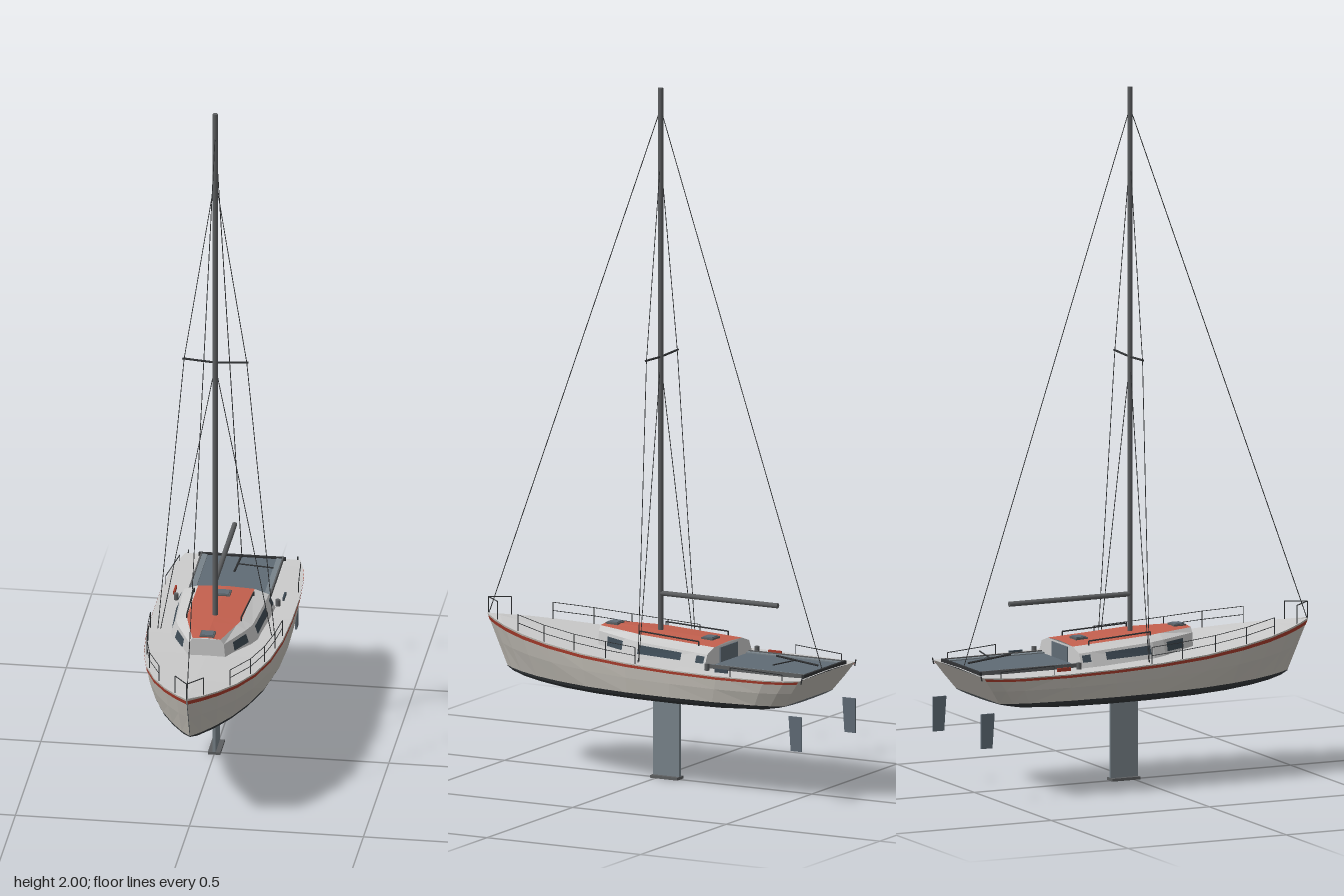
import * as THREE from 'three';

const mat = (color, flat = true) => new THREE.MeshStandardMaterial({ color, flatShading: flat, side: THREE.DoubleSide });
const GREY = mat(0xcccccc), HULL = mat(0xc2beb6), BOTTOM = mat(0x34383b), RED = mat(0xc4604e), STRIPE = mat(0xa83c2c);
const SLATE = mat(0x5f6b75), BENCH = mat(0x78838a), GLASS = mat(0x3d4a54), SPAR = mat(0x5c5e60, false), WIRE = mat(0x303234, false);
const V = (x, y, z) => new THREE.Vector3(x, y, z);

// Stations: deck z, deck half width, deck y, chine z, chine half width, bottom depth
const stations = [
  [-0.55, 0.165, 0.36, -0.49, 0.14, 0.005], [-0.51, 0.178, 0.358, -0.455, 0.16, 0.018],
  [-0.45, 0.19, 0.357, -0.41, 0.173, 0.028], [-0.3, 0.199, 0.357, -0.28, 0.187, 0.037],
  [-0.15, 0.199, 0.36, -0.14, 0.19, 0.04], [0, 0.195, 0.366, 0, 0.185, 0.04],
  [0.15, 0.181, 0.376, 0.14, 0.165, 0.039], [0.28, 0.155, 0.389, 0.25, 0.135, 0.036],
  [0.38, 0.119, 0.4, 0.34, 0.1, 0.03], [0.46, 0.076, 0.41, 0.41, 0.062, 0.023],
  [0.515, 0.036, 0.417, 0.46, 0.028, 0.014], [0.555, 0.001, 0.422, 0.49, 0.001, 0.003],
];
const CHINE = 0.278;

// Value of one station column at a given deck z
function at(z, col) {
  let i = 0;
  while (i < stations.length - 2 && stations[i + 1][0] < z) i++;
  const a = stations[i], b = stations[i + 1];
  return THREE.MathUtils.lerp(a[col], b[col], (z - a[0]) / (b[0] - a[0]));
}

// Skin a list of equally long rows of points
function skin(name, rows, material) {
  const n = rows[0].length, idx = [];
  for (let r = 0; r < rows.length - 1; r++) for (let c = 0; c < n - 1; c++) {
    const a = r * n + c, b = a + n;
    idx.push(a, b, a + 1, a + 1, b, b + 1);
  }
  const g = new THREE.BufferGeometry().setFromPoints(rows.flat());
  g.setIndex(idx);
  g.computeVertexNormals();
  const m = new THREE.Mesh(g, material);
  m.name = name;
  return m;
}

function box(name, w, h, d, x, y, z, material) {
  const m = new THREE.Mesh(new THREE.BoxGeometry(w, h, d), material);
  m.position.set(x, y, z);
  m.name = name;
  return m;
}

// Straight round bar between two points
function rod(name, a, b, r, material = WIRE, sides = 6) {
  const dir = b.clone().sub(a);
  const m = new THREE.Mesh(new THREE.CylinderGeometry(r, r, dir.length(), sides), material);
  m.position.copy(a).addScaledVector(dir, 0.5);
  m.quaternion.setFromUnitVectors(V(0, 1, 0), dir.normalize());
  m.name = name;
  return m;
}

function chain(name, pts, r, material) {
  const g = new THREE.Group();
  g.name = name;
  for (let i = 0; i < pts.length - 1; i++) g.add(rod(name + 'Bar', pts[i], pts[i + 1], r, material));
  return g;
}

function buildHull() {
  const g = new THREE.Group();
  g.name = 'hull';
  // Point on the topside, t = 0 at the deck and 1 at the chine
  const side = (s, k, t, out = 0) => V(k * (THREE.MathUtils.lerp(s[1], s[4], t ** 1.6) + out),
    THREE.MathUtils.lerp(s[2], CHINE, t), THREE.MathUtils.lerp(s[0], s[3], t));
  for (const k of [1, -1]) {
    g.add(skin('topside', stations.map(s => [0, 0.5, 1].map(t => side(s, k, t))), HULL));
    g.add(skin('sheerStripe', stations.map(s => [0.04, 0.13].map(t => side(s, k, t, 0.0015))), STRIPE));
  }
  const curve = s => Array.from({ length: 13 }, (_, i) => {
    const a = Math.PI * i / 12;
    return V(s[4] * Math.cos(a), CHINE - s[5] * Math.sin(a), s[3]);
  });
  g.add(skin('bottom', stations.map(curve), BOTTOM));
  g.add(skin('deck', stations.map(s => [-1, 0, 1].map(k => V(k * s[1], s[2] + (k ? 0 : 0.003), s[0]))), GREY));
  const s = stations[0];
  g.add(skin('transom', [0, 0.5, 1].map(t => [side(s, 1, t), side(s, -1, t)]), HULL));
  return g;
}

function buildCabin() {
  const g = new THREE.Group();
  g.name = 'cabin';
  // z, base half width, shoulder half width, red panel half width, roof y
  const secs = [[-0.228, 0.143, 0.122, 0.081, 0.413], [-0.19, 0.142, 0.121, 0.081, 0.415],
    [0.01, 0.129, 0.11, 0.079, 0.426], [0.05, 0.117, 0.098, 0.07, 0.428], [0.165, 0.056, 0.05, 0.04, 0.432]];
  const half = s => [V(s[1], 0.355, s[0]), V(s[2], s[4] - 0.014, s[0]), V(s[3], s[4], s[0])];
  const flip = p => V(-p.x, p.y, p.z);
  for (const f of [p => p.clone(), flip]) {
    g.add(skin('cabinSide', secs.map(s => half(s).map(f)), GREY));
    // Windows lie on the sloping side, slightly proud of it
    for (const [z0, z1, seg] of [[-0.222, -0.195, 0], [-0.145, 0, 1], [0.06, 0.125, 3]]) {
      const a = half(secs[seg]), b = half(secs[seg + 1]);
      const pt = (z, v) => {
        const u = (z - secs[seg][0]) / (secs[seg + 1][0] - secs[seg][0]);
        const lo = a[0].clone().lerp(b[0], u), hi = a[1].clone().lerp(b[1], u);
        return f(lo.lerp(hi, v).add(V(0.002, 0.001, 0)));
      };
      g.add(skin('window', [z0, z1].map(z => [pt(z, 0.42), pt(z, 0.85)]), GLASS));
    }
  }
  g.add(skin('roofPanel', secs.map(s => [V(s[3], s[4], s[0]), V(0, s[4] + 0.004, s[0]), V(-s[3], s[4], s[0])]), RED));
  for (const [name, i] of [['cabinBack', 0], ['cabinFront', 4]]) {
    const h = half(secs[i]);
    g.add(skin(name, [h, h.map(flip)], GREY));
  }
  g.add(box('companionwayDoor', 0.1, 0.045, 0.004, 0, 0.385, -0.23, SLATE));
  for (const [z, y] of [[-0.17, 0.421], [0.14, 0.435]]) {
    g.add(box('hatchFrame', 0.042, 0.006, 0.038, 0, y, z, SPAR));
    g.add(box('hatchGlass', 0.034, 0.003, 0.03, 0, y + 0.004, z, SLATE));
  }
  for (const k of [1, -1]) g.add(chain('handrail', [V(k * 0.086, 0.414, -0.18), V(k * 0.086, 0.426, -0.18),
    V(k * 0.078, 0.436, 0.018), V(k * 0.078, 0.424, 0.018)], 0.0022));
  return g;
}

function buildCockpit() {
  const g = new THREE.Group();
  g.name = 'cockpit';
  g.add(box('cockpitFloor', 0.2, 0.01, 0.305, 0, 0.36, -0.385, SLATE));
  for (const k of [1, -1]) {
    g.add(box('bench', 0.016, 0.014, 0.31, k * 0.107, 0.361, -0.385, BENCH));
    g.add(box('coaming', 0.004, 0.018, 0.31, k * 0.117, 0.362, -0.385, SPAR));
    const winch = rod('winch', V(k * 0.146, 0.355, -0.24), V(k * 0.146, 0.378, -0.24), 0.007, SPAR, 12);
    g.add(winch);
    g.add(box('sideLight', 0.005, 0.01, 0.042, k * 0.157, 0.364, -0.293, k < 0 ? STRIPE : GLASS));
  }
  g.add(box('traveller', 0.25, 0.012, 0.008, 0, 0.364, -0.54, WIRE));
  g.add(rod('tiller', V(0, 0.375, -0.52), V(0, 0.39, -0.385), 0.003));
  g.add(rod('tillerExtension', V(0, 0.384, -0.45), V(0.105, 0.386, -0.432), 0.002));
  return g;
}

function buildRig() {
  const g = new THREE.Group();
  g.name = 'rig';
  const mz = -0.008;
  g.add(rod('mast', V(0, 0.42, mz), V(0, 2, mz), 0.0075, SPAR, 12));
  g.add(rod('boom', V(0, 0.535, mz), V(0, 0.535, -0.39), 0.0075, SPAR, 12));
  g.add(rod('forestay', V(0, 0.42, 0.552), V(0, 1.94, mz), 0.0013));
  g.add(rod('backstay', V(0, 0.36, -0.535), V(0, 1.94, mz), 0.0013));
  for (const k of [1, -1]) {
    const tip = V(k * 0.095, 1.225, -0.012);
    g.add(rod('spreader', V(0, 1.22, mz), tip, 0.003));
    g.add(chain('upperShroud', [V(k * 0.168, 0.362, -0.028), V(k * 0.09, 1.224, -0.012), V(0, 1.8, mz)], 0.0012));
    g.add(rod('lowerShroud', V(k * 0.16, 0.362, -0.026), V(0, 1.21, mz), 0.0012));
  }
  return g;
}

function buildRails() {
  const g = new THREE.Group();
  g.name = 'rails';
  const edge = (z, h, k) => V(k * (at(z, 1) - 0.006), at(z, 2) + h, z);
  for (const k of [1, -1]) {
    // Bow pulpit
    g.add(chain('pulpit', [edge(0.5, 0, k), edge(0.5, 0.053, k), V(0, 0.47, 0.553)], 0.0015));
    // Side stanchions with two lifelines
    const zs = [0.4, 0.29, 0.18, 0.07, -0.03];
    for (const z of zs) g.add(rod('stanchion', edge(z, 0, k), edge(z, 0.048, k), 0.0015));
    for (const h of [0.024, 0.048]) g.add(chain('lifeline', zs.map(z => edge(z, h, k)), 0.001));
    // Low stern rail
    g.add(chain('sternRail', [edge(-0.34, 0, k), edge(-0.34, 0.027, k), edge(-0.5, 0.018, k), edge(-0.5, 0, k)], 0.0013));
    g.add(rod('sternPost', V(k * 0.157, 0.35, -0.552), V(k * 0.157, 0.368, -0.556), 0.002));
  }
  g.add(rod('pulpitPost', V(0, 0.42, 0.553), V(0, 0.47, 0.553), 0.0015));
  return g;
}

function buildFoils() {
  const g = new THREE.Group();
  g.name = 'foils';
  g.add(box('keelFin', 0.009, 0.25, 0.086, 0, 0.125, -0.028, BENCH));
  g.add(box('keelFoot', 0.036, 0.008, 0.088, 0, 0.004, -0.028, SPAR));
  // Twin rudder blades, slightly tapered
  for (const k of [1, -1]) {
    const blade = box('rudderBlade', 0.005, 0.1, 0.042, k * 0.157, 0.205, -0.534, SLATE);
    const p = blade.geometry.attributes.position;
    for (let i = 0; i < p.count; i++) if (p.getY(i) < 0 && p.getZ(i) > 0) p.setZ(i, 0.014);
    g.add(blade);
  }
  return g;
}

export function createModel() {
  const boat = new THREE.Group();
  boat.name = 'sailboat';
  boat.add(buildHull(), buildCabin(), buildCockpit(), buildRig(), buildRails(), buildFoils());
  return boat;
}
